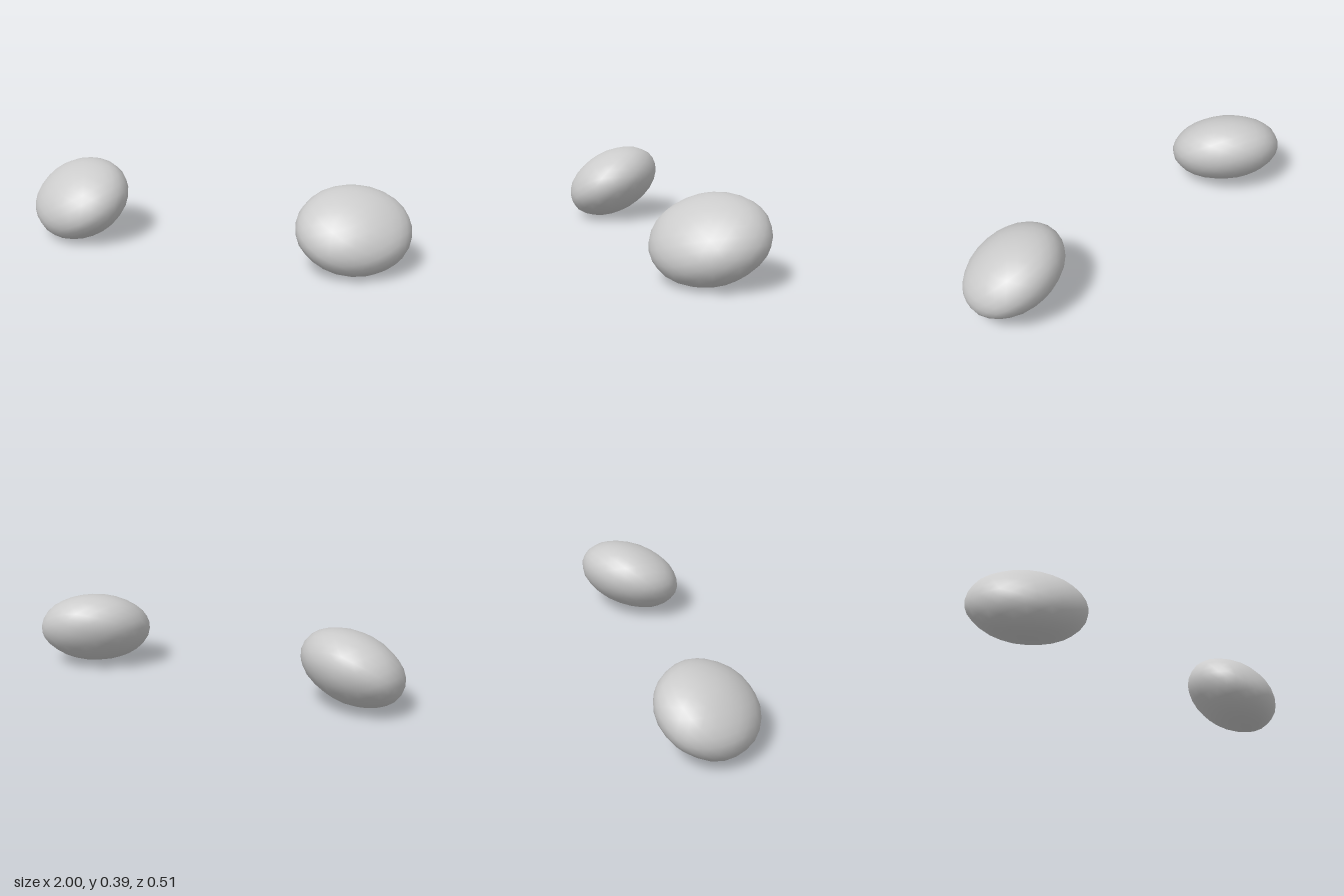
import * as THREE from 'three';
import { mergeVertices } from 'three/addons/utils/BufferGeometryUtils.js';

// A tilted ellipsoid pebble: a unit sphere sheared so that its half extents
// are sx, sy, sz and its axes lean by the given covariances.
function pebbleGeometry(side, sx, sy, sz) {
  const xy = -0.007 * side, xz = -0.012 * side, yz = -0.013;
  const a = sx, b = xy / a, c = xz / a;
  const d = Math.sqrt(sy * sy - b * b);
  const e = (yz - b * c) / d;
  const f = Math.sqrt(sz * sz - c * c - e * e);

  let geometry = new THREE.IcosahedronGeometry(1, 4);
  geometry.deleteAttribute('normal');
  geometry.deleteAttribute('uv');
  geometry = mergeVertices(geometry, 1e-4);

  const p = geometry.attributes.position;
  for (let i = 0; i < p.count; i++) {
    const u = p.getX(i), v = p.getY(i), w = p.getZ(i);
    // gentle lumps over the surface
    const r = 1.01 + 0.01 * Math.sin(5 * u * side + 1) * Math.sin(6 * w + 2) * Math.cos(5 * v);
    p.setXYZ(i, r * a * u, r * (b * u + d * v), r * (c * u + e * v + f * w));
  }
  geometry.computeVertexNormals();

  // rest the pebble on the ground
  geometry.computeBoundingBox();
  geometry.translate(0, -geometry.boundingBox.min.y, 0);
  return geometry;
}

export function createModel() {
  const group = new THREE.Group();
  group.name = 'pebblePair';
  const material = new THREE.MeshStandardMaterial({ color: 0xcccccc });

  // mirrored pair
  for (const [name, side, x, sx] of [
    ['leftPebble', 1, 0.728, 0.27],
    ['rightPebble', -1, -0.734, 0.264],
  ]) {
    const mesh = new THREE.Mesh(pebbleGeometry(side, sx, 0.193, 0.253), material);
    mesh.name = name;
    mesh.position.x = x;
    group.add(mesh);
  }
  return group;
}
